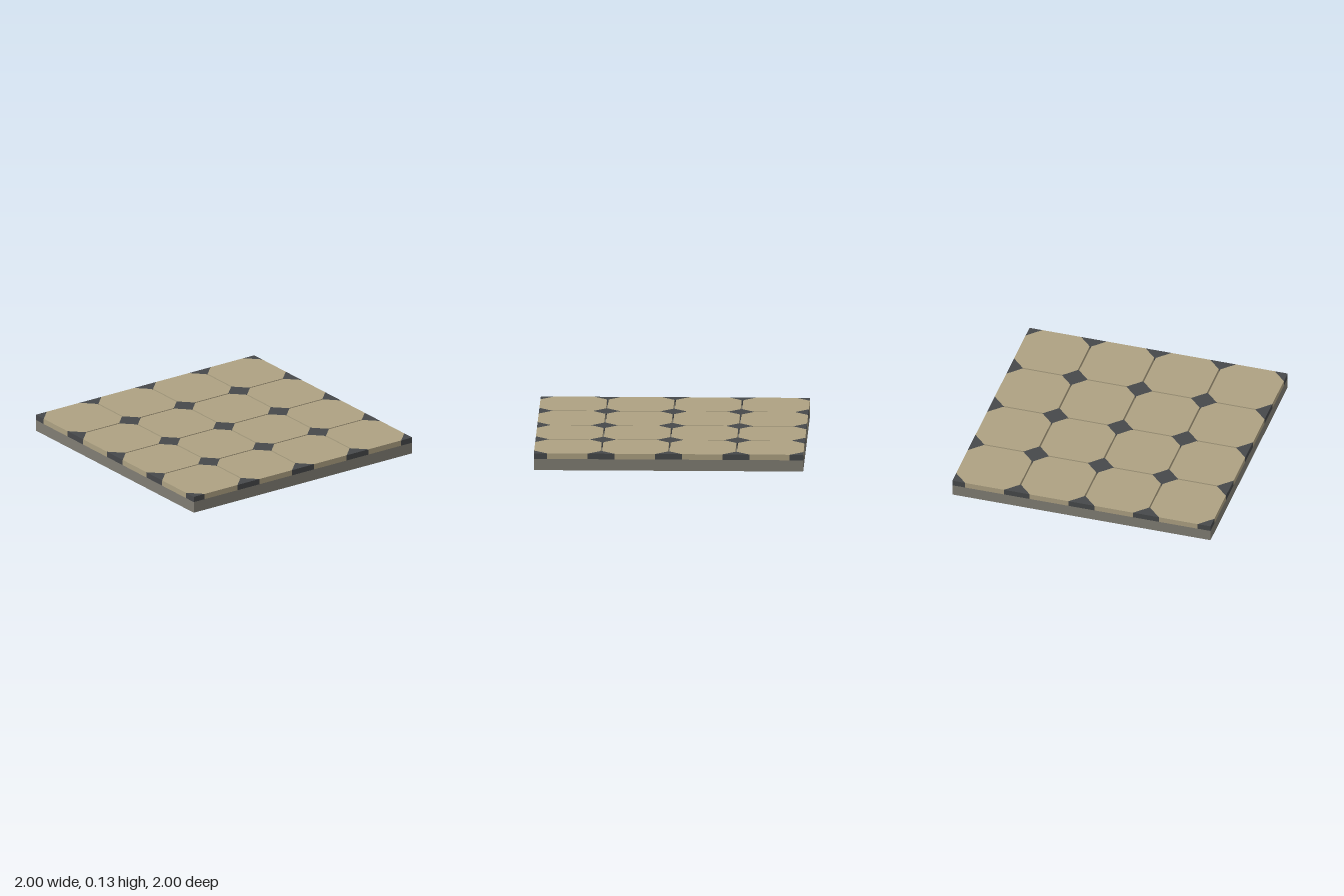
import * as THREE from 'three';

const BASE = 0.085, TOP = 0.127; // slab top, tile top
const CELL = 0.5, CUT = 0.1, GAP = 0.006; // tile pitch, corner cut, half joint width

// Flat prism lying on the slab from an outline of [x, z] points
function prism(name, points, material) {
  const shape = new THREE.Shape(points.map(([x, z]) => new THREE.Vector2(x, -z)));
  const geometry = new THREE.ExtrudeGeometry(shape, { depth: TOP - BASE, bevelEnabled: false });
  geometry.rotateX(-Math.PI / 2).translate(0, BASE, 0);
  const mesh = new THREE.Mesh(geometry, material);
  mesh.name = name;
  return mesh;
}

export function createModel() {
  const model = new THREE.Group();
  model.name = 'tiledFloor';
  const slabMat = new THREE.MeshStandardMaterial({ color: 0x807d73 });
  const tileMat = new THREE.MeshStandardMaterial({ color: 0xada182 });
  const insetMat = new THREE.MeshStandardMaterial({ color: 0x46484a });

  // Mortar slab
  const slab = new THREE.Mesh(new THREE.BoxGeometry(2, BASE, 2), slabMat);
  slab.name = 'slab';
  slab.position.y = BASE / 2;
  model.add(slab);

  // Octagonal tiles: joints between neighbours, flush at the outer rim
  const tiles = new THREE.Group();
  tiles.name = 'octagonTiles';
  const joint = (line) => (Math.abs(line) > 0.99 ? 0 : GAP);
  for (let i = 0; i < 4; i++) {
    for (let j = 0; j < 4; j++) {
      const x0 = -1 + i * CELL, x1 = x0 + CELL;
      const z0 = -1 + j * CELL, z1 = z0 + CELL;
      const a = joint(x0), b = joint(x1), c = joint(z0), d = joint(z1);
      tiles.add(prism('octagonTile', [
        [x0 + CUT - c, z0 + c], [x1 - CUT + c, z0 + c],
        [x1 - b, z0 + CUT - b], [x1 - b, z1 - CUT + b],
        [x1 - CUT + d, z1 - d], [x0 + CUT - d, z1 - d],
        [x0 + a, z1 - CUT + a], [x0 + a, z0 + CUT - a],
      ], tileMat));
    }
  }
  model.add(tiles);

  // Dark diamond insets at the tile corners, trimmed at the rim
  const insets = new THREE.Group();
  insets.name = 'diamondInsets';
  const trim = (v) => THREE.MathUtils.clamp(v, -1, 1);
  for (let i = 0; i <= 4; i++) {
    for (let j = 0; j <= 4; j++) {
      const x = -1 + i * CELL, z = -1 + j * CELL;
      const points = [[x + CUT, z], [x, z + CUT], [x - CUT, z], [x, z - CUT]]
        .map(([px, pz]) => [trim(px), trim(pz)])
        .filter(([px, pz], k, all) => all.findIndex((q) => q[0] === px && q[1] === pz) === k);
      insets.add(prism('diamondInset', points, insetMat));
    }
  }
  model.add(insets);
  return model;
}
